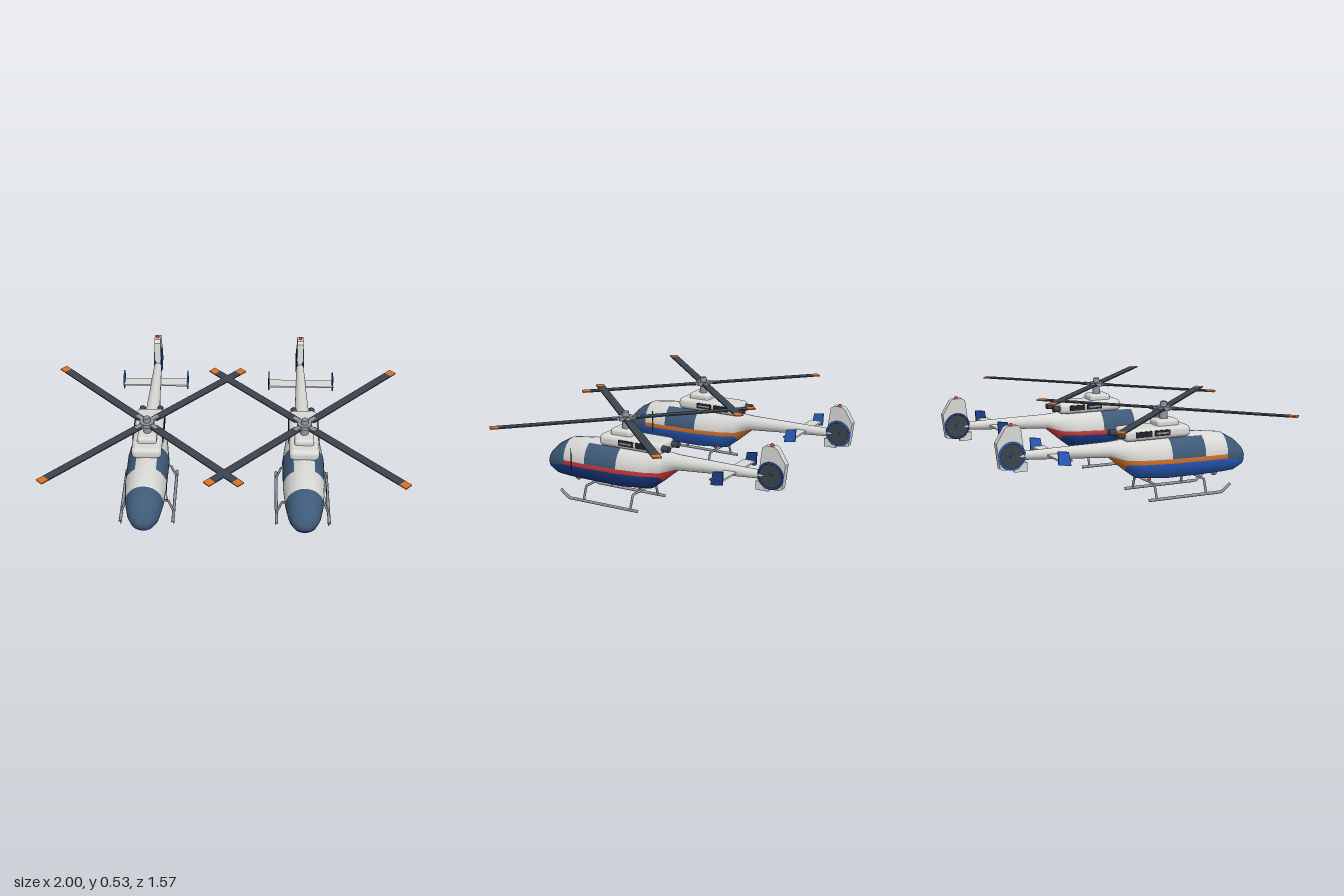
import * as THREE from 'three';
import { RoundedBoxGeometry } from 'three/addons/geometries/RoundedBoxGeometry.js';

const mat = (name, color, side = THREE.FrontSide) => {
  const m = new THREE.MeshStandardMaterial({ color, side });
  m.name = name;
  return m;
};

export function createModel() {
  const white = mat('white paint', 0xd8d8d6), glass = mat('tinted glass', 0x3f5a78);
  const navy = mat('navy paint', 0x1c3d8a), blue = mat('blue paint', 0x2a62c8);
  const red = mat('red paint', 0xd23c3c), orange = mat('orange paint', 0xd9742a);
  const dark = mat('dark grey', 0x3b434d), metal = mat('metal', 0x8d949c);
  const black = mat('black', 0x20242a);

  const lerp = THREE.MathUtils.lerp, clamp = THREE.MathUtils.clamp;

  // Fuselage sections: z, bottom, top, half width
  const sections = [
    [0.742, 0.15, 0.195, 0.035], [0.72, 0.12, 0.237, 0.066], [0.67, 0.095, 0.283, 0.09],
    [0.59, 0.09, 0.328, 0.107], [0.44, 0.088, 0.346, 0.118], [0.226, 0.088, 0.349, 0.12],
    [0.05, 0.105, 0.343, 0.1], [-0.03, 0.165, 0.337, 0.076], [-0.12, 0.24, 0.33, 0.046],
    [-0.35, 0.257, 0.328, 0.034], [-0.62, 0.276, 0.325, 0.024], [-0.67, 0.296, 0.308, 0.02],
  ];
  const LOW = 4, HALF = 11, RING = HALF * 2;

  // Angles up one side of a section, with breaks at the edges of the stripe
  function sideAngles(z, bottom, top) {
    const low = z > 0.59 ? lerp(0.19, 0.155, (z - 0.59) / 0.152) : lerp(0.188, 0.2, (0.59 - z) / 0.62);
    const toAngle = y => Math.asin(clamp((y - (bottom + top) / 2) / ((top - bottom) / 2), -1, 1));
    const a = clamp(toAngle(low), -1.2, 1), b = clamp(toAngle(low + 0.026), Math.max(-0.9, a + 0.1), 1.2);
    const list = [];
    for (let j = 0; j < LOW; j++) list.push(lerp(-Math.PI / 2, a, j / LOW));
    list.push(a);
    for (let j = 0; j <= 6; j++) list.push(lerp(b, Math.PI / 2, j / 6));
    return list;
  }

  // Paint slots: 0 white, 1 glass, 2 lower paint, 3 stripe
  function paintSlot(i, seg) {
    const z = sections[i][0];
    if (z <= -0.12) return 0;
    if (z <= -0.03) return seg <= LOW ? 3 : 0;
    if (seg < LOW) return i === 1 && seg === 2 ? 1 : 2;
    if (z > 0.59) return 1;
    if (seg === LOW) return 3;
    return z === 0.44 && seg < 9 ? 1 : 0;
  }

  function fuselageGeometry() {
    const pos = [], slots = [[], [], [], []];
    for (const [z, b, t, w] of sections) {
      const angles = sideAngles(z, b, t);
      for (let j = 0; j < RING; j++) {
        const a = angles[j <= HALF ? j : RING - j];
        pos.push((j <= HALF ? 1 : -1) * w * Math.cos(a), (b + t) / 2 + (t - b) / 2 * Math.sin(a), z);
      }
    }
    for (let i = 0; i < sections.length - 1; i++) {
      for (let j = 0; j < RING; j++) {
        const k = (j + 1) % RING, a = i * RING + j, c = i * RING + k;
        slots[paintSlot(i, j < HALF ? j : RING - 1 - j)].push(a, a + RING, c, a + RING, c + RING, c);
      }
    }
    // Nose and tail caps
    const last = (sections.length - 1) * RING, n = pos.length / 3;
    pos.push(0, 0.172, 0.746, 0, 0.302, -0.672);
    for (let j = 0; j < RING; j++) {
      const k = (j + 1) % RING;
      slots[1].push(n, j, k);
      slots[0].push(n + 1, last + k, last + j);
    }
    const geo = new THREE.BufferGeometry();
    geo.setAttribute('position', new THREE.Float32BufferAttribute(pos, 3));
    geo.setIndex(slots.flat());
    let start = 0;
    slots.forEach((s, i) => { geo.addGroup(start, s.length, i); start += s.length; });
    geo.computeVertexNormals();
    return geo;
  }

  // Side outline of (z, y) points extruded across x
  function sidePlate(points, width) {
    const shape = new THREE.Shape(points.map(p => new THREE.Vector2(...p)));
    return new THREE.ExtrudeGeometry(shape, { depth: width, bevelEnabled: false })
      .translate(0, 0, -width / 2).rotateY(-Math.PI / 2);
  }

  // Tube with straight runs through points
  function pipe(points, r) {
    const path = new THREE.CurvePath(), v = points.map(p => new THREE.Vector3(...p));
    for (let i = 1; i < v.length; i++) path.add(new THREE.LineCurve3(v[i - 1], v[i]));
    return new THREE.TubeGeometry(path, 40, r, 8);
  }

  function helicopter(lower, stripe) {
    const g = new THREE.Group();
    const add = (name, geo, material, x = 0, y = 0, z = 0, parent = g) => {
      const m = new THREE.Mesh(geo, material);
      m.name = name;
      m.position.set(x, y, z);
      parent.add(m);
      return m;
    };
    const box = (w, h, d) => new THREE.BoxGeometry(w, h, d);
    const cyl = (r1, r2, h, n = 20) => new THREE.CylinderGeometry(r1, r2, h, n);
    const ball = r => new THREE.SphereGeometry(r, 14, 10);

    add('fuselage', fuselageGeometry(), [white, glass, lower, stripe]);

    // Engine housing, vents and exhausts
    add('engineHousing', new RoundedBoxGeometry(0.17, 0.07, 0.41, 4, 0.028), white, 0, 0.366, 0.155);
    add('mastFairing', new RoundedBoxGeometry(0.11, 0.05, 0.135, 3, 0.018), white, 0, 0.41, 0.232);
    for (const s of [-1, 1]) {
      for (const z of [0.175, 0.06]) add('engineVent', box(0.008, 0.032, 0.1), black, s * 0.084, 0.369, z);
      add('ventSlat', box(0.008, 0.01, 0.075), metal, s * 0.086, 0.369, 0.175);
      add('exhaust', cyl(0.018, 0.018, 0.06).rotateX(Math.PI / 2), dark, s * 0.052, 0.367, -0.06);
    }

    // Main rotor
    const rotor = new THREE.Group();
    rotor.name = 'mainRotor';
    rotor.position.set(0, 0.493, 0.226);
    g.add(rotor);
    add('mast', cyl(0.02, 0.024, 0.08), metal, 0, -0.03, 0, rotor);
    add('hub', cyl(0.042, 0.042, 0.024, 12), metal, 0, 0, 0, rotor);
    add('hubCap', cyl(0.018, 0.022, 0.036), metal, 0, 0.02, 0, rotor);
    for (let i = 0; i < 4; i++) {
      const arm = new THREE.Group();
      arm.name = 'rotorBlade';
      arm.rotation.y = Math.PI / 4 + i * Math.PI / 2;
      rotor.add(arm);
      add('bladeGrip', box(0.07, 0.016, 0.026), metal, 0.05, 0, 0, arm);
      add('blade', box(0.66, 0.007, 0.048), dark, 0.385, 0, 0, arm);
      add('bladeTip', box(0.046, 0.007, 0.048), orange, 0.738, 0, 0, arm);
    }

    // Tail fin with enclosed fan
    add('tailFin', sidePlate([[-0.645, 0.458], [-0.665, 0.472], [-0.72, 0.47], [-0.735, 0.46], [-0.784, 0.38],
      [-0.765, 0.24], [-0.75, 0.232], [-0.66, 0.232], [-0.62, 0.28], [-0.63, 0.345]], 0.038), white);
    add('tailFan', cyl(0.07, 0.07, 0.042, 32).rotateZ(Math.PI / 2), dark, 0, 0.307, -0.697);
    for (const s of [-1, 1]) {
      add('fanRing', new THREE.TorusGeometry(0.072, 0.006, 8, 36).rotateY(Math.PI / 2), lower, s * 0.018, 0.307, -0.697);
      add('fanHub', cyl(0.012, 0.012, 0.004).rotateZ(Math.PI / 2), dark, s * 0.022, 0.307, -0.697);
    }
    add('ventralFin', box(0.02, 0.05, 0.075), white, 0, 0.238, -0.642);
    add('finBeacon', ball(0.011), red, 0, 0.474, -0.695);

    // Tailplane and end plates
    add('tailplane', box(0.39, 0.01, 0.07), white, 0, 0.294, -0.46);
    for (const s of [-1, 1]) {
      add('endPlate', sidePlate([[-0.445, 0.342], [-0.507, 0.35], [-0.503, 0.275], [-0.43, 0.265]], 0.008), lower, s * 0.195);
      add('navigationLight', ball(0.006), red, s * 0.195, 0.294, -0.428);
    }

    // Landing skids
    for (const s of [-1, 1]) {
      add('skid', pipe([[s * 0.15, 0.052, 0.58], [s * 0.15, 0.009, 0.525], [s * 0.15, 0.009, 0.055]], 0.009), metal);
    }
    for (const z of [0.425, 0.11]) {
      add('crossTube', pipe([[-0.15, 0.01, z], [-0.12, 0.09, z], [0.12, 0.09, z], [0.15, 0.01, z]], 0.007), metal);
    }

    // Belly lights and whip antenna
    add('landingLight', ball(0.02), metal, 0, 0.09, 0.56);
    add('bellyBeacon', ball(0.011), red, 0, 0.09, 0.14);
    add('antenna', cyl(0.0025, 0.0025, 0.13, 6), black, 0.122, 0.235, 0.525);
    return g;
  }

  const model = new THREE.Group();
  model.name = 'helicopterPair';
  const first = helicopter(navy, red), second = helicopter(blue, orange);
  first.name = 'leftHelicopter';
  second.name = 'rightHelicopter';
  first.position.x = 0.445;
  second.position.x = -0.445;
  model.add(first, second);
  return model;
}
